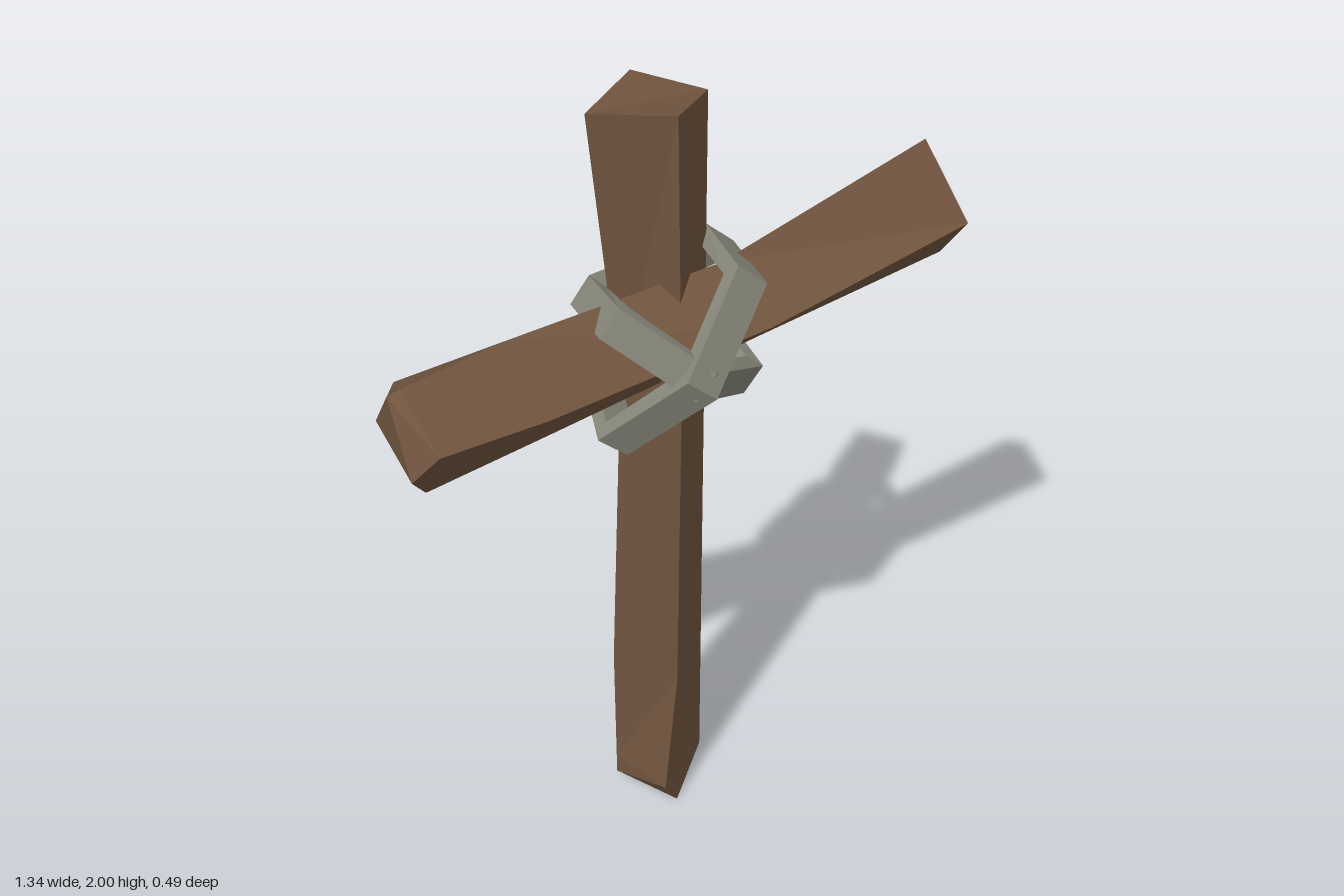
import * as THREE from 'three';

const wood = new THREE.MeshStandardMaterial({ color: 0x6f543e });
wood.name = 'brown wood';
const binding = new THREE.MeshStandardMaterial({ color: 0x87877a });
binding.name = 'grey binding';

// Flat-faced skin over a row of four-cornered cross-sections
function loft(rings, closed) {
  const pos = [];
  const tri = (a, b, c) => pos.push(...a, ...b, ...c);
  const quad = (a, b, c, d) => { tri(a, b, c); tri(a, c, d); };
  const n = rings.length;
  for (let i = 0; i < (closed ? n : n - 1); i++) {
    const p = rings[i], q = rings[(i + 1) % n];
    for (let j = 0; j < 4; j++) {
      const k = (j + 1) % 4;
      quad(p[j], p[k], q[k], q[j]);
    }
  }
  if (!closed) {
    quad(...[...rings[0]].reverse());
    quad(...rings[n - 1]);
  }
  const g = new THREE.BufferGeometry();
  g.setAttribute('position', new THREE.Float32BufferAttribute(pos, 3));
  g.computeVertexNormals();
  return g;
}

function part(name, geometry, material) {
  const mesh = new THREE.Mesh(geometry, material);
  mesh.name = name;
  return mesh;
}

// Upright: [side y, front/back y, left x, front x, front z, back z]
function postGeometry() {
  const levels = [
    [0.04, 0.0, -0.14, -0.02, 0.07, -0.18],
    [0.1, 0.1, -0.14, -0.07, 0.105, -0.21],
    [0.47, 0.45, -0.14, -0.02, 0.07, -0.18],
    [1.3, 1.3, -0.105, -0.02, 0.09, -0.12],
    [1.98, 2.0, -0.17, -0.02, 0.07, -0.18],
  ];
  return loft(levels.map(([ys, yf, xl, xf, zf, zb]) => [
    [0.11, ys, -0.06], [-0.015, yf, zb], [xl, ys, -0.06], [xf, yf, zf],
  ]));
}

// Crossbar: [top x, y, side x, y, bottom x, y, front z, back z]
function beamGeometry() {
  const sections = [
    [-0.67, 1.49, -0.67, 1.35, -0.61, 1.22, 0.16, -0.09],
    [-0.64, 1.5, -0.615, 1.42, -0.6, 1.222, 0.195, -0.115],
    [-0.4, 1.555, -0.36, 1.42, -0.32, 1.285, 0.165, -0.085],
    [0.1, 1.62, 0.15, 1.525, 0.2, 1.405, 0.185, -0.03],
    [0.6, 1.81, 0.65, 1.65, 0.67, 1.51, 0.16, -0.09],
  ];
  return loft(sections.map(([tx, ty, sx, sy, bx, by, zf, zb]) => [
    [tx, ty, 0.035], [sx, sy, zf], [bx, by, 0.035], [sx, sy, zb],
  ]));
}

// Closed angular strap following a loop of points
function strapGeometry(points, width, thickness) {
  const p = points.map((a) => new THREE.Vector3(...a));
  const n = p.length;
  const centre = p.reduce((s, v) => s.add(v), new THREE.Vector3()).divideScalar(n);
  const side = new THREE.Vector3();
  p.forEach((v, i) => {
    const a = v.clone().sub(centre), b = p[(i + 1) % n].clone().sub(centre);
    side.sub(a.cross(b));
  });
  side.normalize();
  return loft(p.map((v, i) => {
    const along = p[(i + 1) % n].clone().sub(p[(i + n - 1) % n]).normalize();
    const out = side.clone().cross(along).normalize();
    const corner = (r, s) => v.clone()
      .addScaledVector(out, r * thickness / 2)
      .addScaledVector(side, s * width / 2).toArray();
    return [corner(1, -1), corner(1, 1), corner(-1, 1), corner(-1, -1)];
  }), true);
}

export function createModel() {
  const model = new THREE.Group();
  model.name = 'bound wooden cross';
  model.add(part('post', postGeometry(), wood));
  model.add(part('crossbar', beamGeometry(), wood));

  // Two straps crossing at the front and the back of the joint
  const risingStrap = [
    [-0.04, 1.45, 0.22], [0.1, 1.64, 0.15], [0.14, 1.61, -0.07],
    [0.03, 1.48, -0.21], [-0.12, 1.3, -0.15], [-0.18, 1.27, 0.09],
  ];
  const fallingStrap = [
    [-0.03, 1.45, 0.21], [0.16, 1.32, 0.05], [0.14, 1.38, -0.15],
    [0.02, 1.48, -0.22], [-0.16, 1.53, -0.1], [-0.185, 1.58, 0.11],
  ];
  model.add(part('risingStrap', strapGeometry(risingStrap, 0.085, 0.045), binding));
  model.add(part('fallingStrap', strapGeometry(fallingStrap, 0.08, 0.045), binding));
  return model;
}
